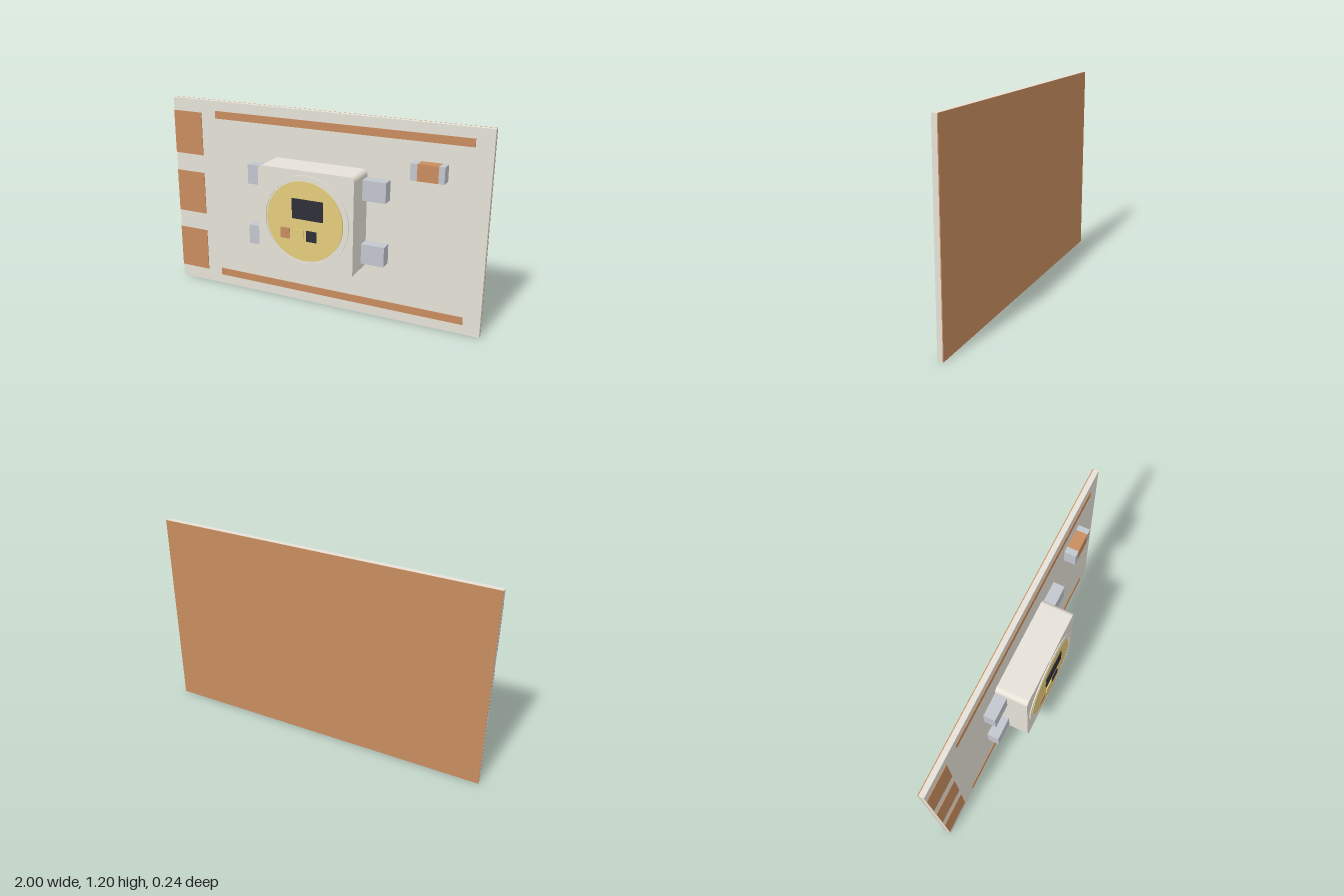
import * as THREE from 'three';

const mat = (name, color) => {
  const m = new THREE.MeshStandardMaterial({ color });
  m.name = name;
  return m;
};

export function createModel() {
  const group = new THREE.Group();
  const white = mat('white', 0xe6e2d8);
  const copper = mat('copper', 0xc88d5f);
  const gold = mat('gold', 0xe4cc7c);
  const silver = mat('silver', 0xc2c6ce);
  const dark = mat('dark', 0x2f2f38);

  const add = (name, geometry, material) => {
    const mesh = new THREE.Mesh(geometry, material);
    mesh.name = name;
    group.add(mesh);
    return mesh;
  };
  // box given by its limits on each axis
  const box = (name, material, x0, x1, y0, y1, z0, z1) =>
    add(name, new THREE.BoxGeometry(x1 - x0, y1 - y0, z1 - z0), material)
      .position.set((x0 + x1) / 2, (y0 + y1) / 2, (z0 + z1) / 2);

  // board with copper backing
  const face = -0.085;
  box('board', white, -1, 1, 0, 1.2, -0.115, face);
  box('copperBacking', copper, -1, 1, 0, 1.2, -0.12, -0.115);

  // solder pads and long traces
  for (const y of [0.215, 0.6, 0.985])
    box('solderPad', copper, -1, -0.8, y - 0.135, y + 0.135, face, face + 0.004);
  for (const y of [0.083, 1.117])
    box('trace', copper, -0.7, 0.9, y - 0.023, y + 0.023, face, face + 0.004);

  // package body with rounded upright edges
  const h = 0.3, r = 0.03;
  const outline = new THREE.Shape();
  outline.absarc(h - r, h - r, r, 0, Math.PI / 2);
  outline.absarc(-h + r, h - r, r, Math.PI / 2, Math.PI);
  outline.absarc(-h + r, -h + r, r, Math.PI, Math.PI * 1.5);
  outline.absarc(h - r, -h + r, r, Math.PI * 1.5, Math.PI * 2);
  add('packageBody', new THREE.ExtrudeGeometry(outline, { depth: 0.192, bevelEnabled: false, curveSegments: 8 }), white)
    .position.set(0, 0.6, face);

  // raised rim around the window
  const rim = new THREE.Shape().absarc(0, 0, 0.275, 0, Math.PI * 2);
  rim.holes.push(new THREE.Path().absarc(0, 0, 0.25, 0, Math.PI * 2, true));
  add('rim', new THREE.ExtrudeGeometry(rim, { depth: 0.006, bevelEnabled: false, curveSegments: 48 }), white)
    .position.set(0, 0.6, 0.107);

  // gold window disc
  const disc = add('windowDisc', new THREE.CylinderGeometry(0.24, 0.24, 0.007, 64), gold);
  disc.rotation.x = Math.PI / 2;
  disc.position.set(0, 0.6, 0.1105);

  // dies on the disc
  box('controlDie', dark, -0.075, 0.12, 0.615, 0.735, 0.112, 0.12);
  box('smallDarkDie', dark, 0.015, 0.08, 0.485, 0.55, 0.112, 0.119);
  box('smallGoldDie', gold, -0.065, -0.003, 0.485, 0.55, 0.112, 0.119);
  box('smallCopperDie', copper, -0.15, -0.09, 0.485, 0.55, 0.112, 0.119);

  // four package leads
  for (const s of [-1, 1])
    for (const y of [0.412, 0.795]) {
      const x0 = s > 0 ? 0.29 : -0.44;
      box('lead', silver, x0, x0 + 0.15, y - 0.06, y + 0.06, face, -0.015);
    }

  // capacitor with metal end caps
  box('capacitorBody', copper, 0.613, 0.732, 0.89, 0.985, face, -0.015);
  box('capacitorCap', silver, 0.574, 0.613, 0.89, 0.985, face, -0.015);
  box('capacitorCap', silver, 0.732, 0.766, 0.89, 0.985, face, -0.015);

  return group;
}
